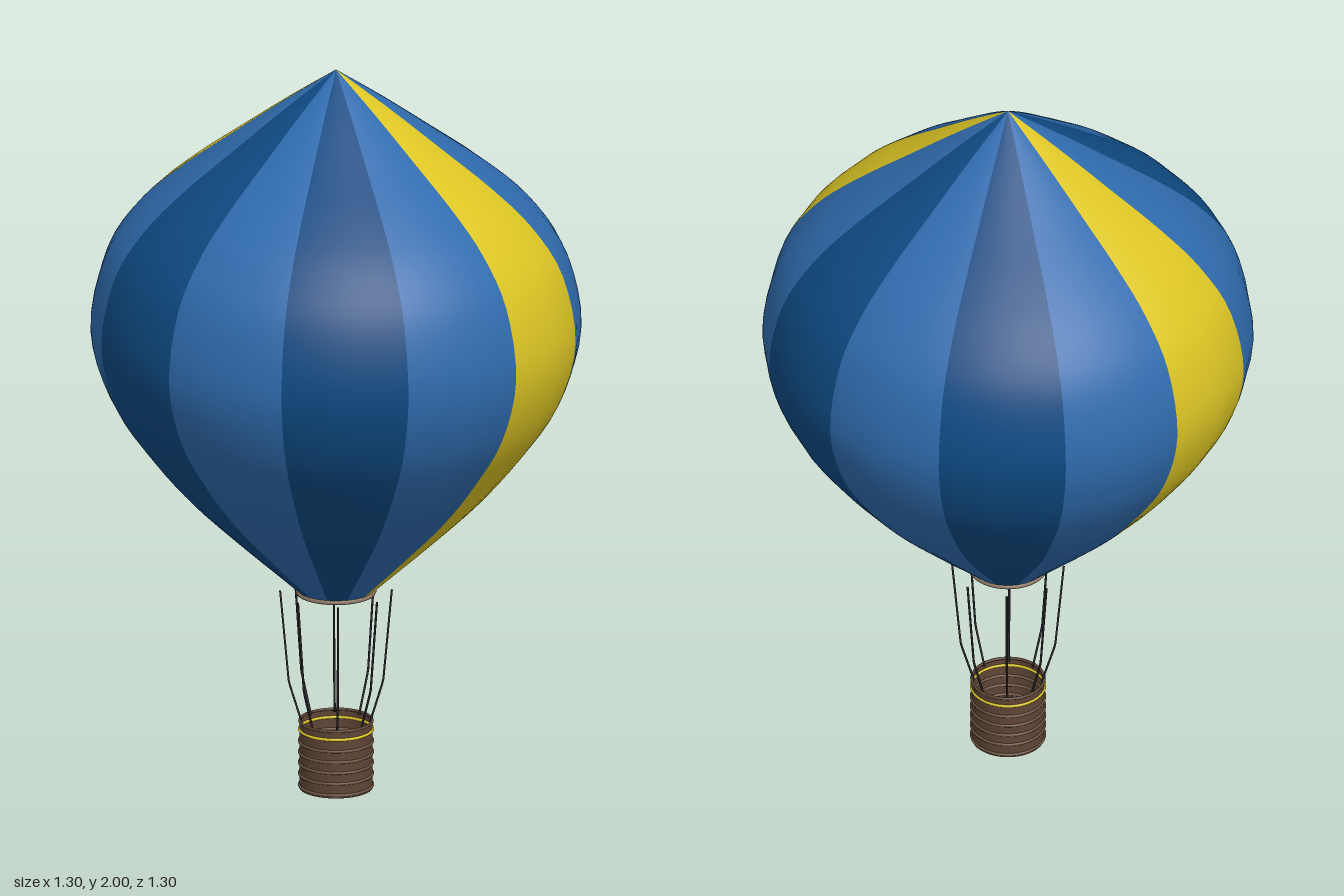
import * as THREE from 'three';

const mat = (name, color, side = THREE.FrontSide) => {
  const m = new THREE.MeshStandardMaterial({ color, side });
  m.name = name;
  return m;
};

export function createModel() {
  const model = new THREE.Group();
  model.name = 'hotAirBalloon';
  const lightBlue = mat('light blue fabric', 0x2f6bad, THREE.DoubleSide);
  const darkBlue = mat('dark blue fabric', 0x0e4a82, THREE.DoubleSide);
  const yellow = mat('yellow fabric', 0xdcc524, THREE.DoubleSide);
  const wicker = mat('brown wicker', 0x5e4535, THREE.DoubleSide);
  const band = mat('light wicker', 0x6e5442);
  const hoop = mat('tan hoop', 0x8f7b66);
  const rope = mat('dark rope', 0x2a2a2e);

  const add = (parent, name, geometry, material, y = 0) => {
    const mesh = new THREE.Mesh(geometry, material);
    mesh.name = name;
    mesh.position.y = y;
    parent.add(mesh);
    return mesh;
  };
  const ring = (radius, tube) => new THREE.TorusGeometry(radius, tube, 8, 48).rotateX(Math.PI / 2);

  // Envelope profile, mouth to crown
  const profile = new THREE.SplineCurve([
    [0.1, 0.55], [0.155, 0.6], [0.265, 0.7], [0.39, 0.82], [0.5, 0.95], [0.6, 1.1], [0.65, 1.28],
    [0.615, 1.47], [0.53, 1.6], [0.42, 1.7], [0.285, 1.8], [0.14, 1.905], [0, 2],
  ].map(([r, y]) => new THREE.Vector2(r, y))).getPoints(48);
  profile.forEach((p) => { p.x = Math.max(p.x, 0); });

  // Twelve gores, counted from +x towards the back
  const envelope = new THREE.Group();
  envelope.name = 'envelope';
  model.add(envelope);
  const gore = Math.PI / 6;
  for (let i = 0; i < 12; i++) {
    const geometry = new THREE.LatheGeometry(profile, 12, Math.PI / 2 + i * gore, gore);
    // Slight ripple in the fabric
    const pos = geometry.attributes.position;
    for (let v = 0; v < pos.count; v++) {
      const x = pos.getX(v), z = pos.getZ(v);
      const k = 0.997 + 0.003 * Math.cos(24 * Math.atan2(z, x));
      pos.setXYZ(v, x * k, pos.getY(v), z * k);
    }
    const material = i % 6 === 0 ? yellow : i % 2 ? lightBlue : darkBlue;
    add(envelope, 'gore' + (i + 1), geometry, material);
  }
  add(model, 'mouthHoop', ring(0.1, 0.007), hoop, 0.547);

  // Eight bent suspension ropes
  const ropes = new THREE.Group();
  ropes.name = 'ropes';
  model.add(ropes);
  const a = new THREE.Vector3(0.09, 0.18, 0);
  const b = new THREE.Vector3(0.125, 0.295, 0);
  const c = new THREE.Vector3(0.148, 0.55, 0);
  const path = new THREE.CurvePath();
  path.add(new THREE.LineCurve3(a, b));
  path.add(new THREE.LineCurve3(b, c));
  const ropeGeometry = new THREE.TubeGeometry(path, 24, 0.003, 6);
  for (let i = 0; i < 8; i++) {
    add(ropes, 'rope' + (i + 1), ropeGeometry, rope).rotation.y = (i * Math.PI) / 4;
  }

  // Open basket with woven bands
  const basket = new THREE.Group();
  basket.name = 'basket';
  model.add(basket);
  add(basket, 'basketWall', new THREE.CylinderGeometry(0.097, 0.097, 0.188, 40, 1, true), wicker, 0.094);
  add(basket, 'basketFloor', new THREE.CylinderGeometry(0.096, 0.096, 0.008, 40), wicker, 0.005);
  add(basket, 'basketRim', ring(0.096, 0.004), wicker, 0.186);
  for (const y of [0.008, 0.04, 0.07, 0.1, 0.13]) {
    add(basket, 'wovenBand', ring(0.097, 0.004), band, y);
  }
  add(basket, 'yellowBand', ring(0.097, 0.004), yellow, 0.163);
  return model;
}
